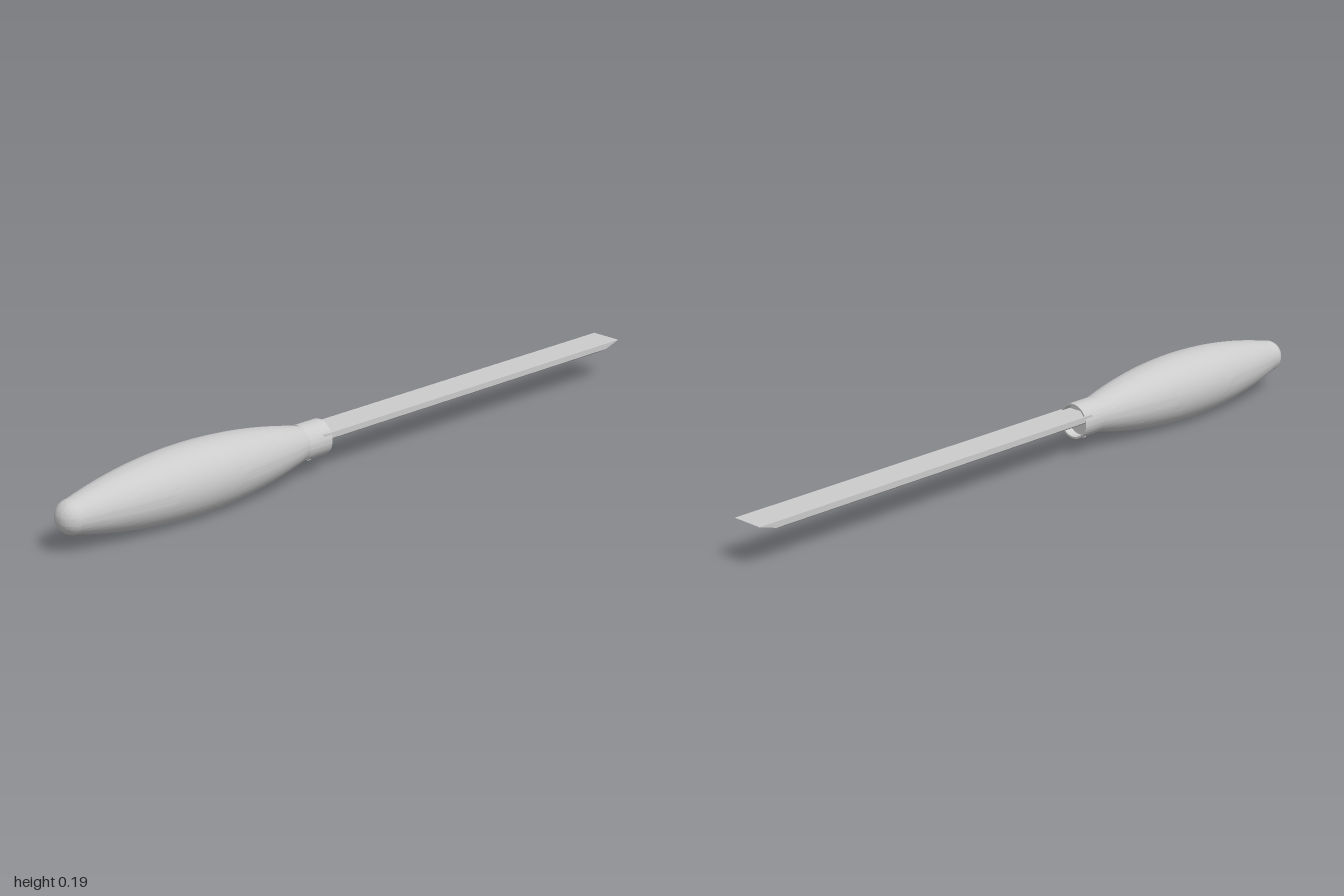
import * as THREE from 'three';
import { toCreasedNormals } from 'three/addons/utils/BufferGeometryUtils.js';

const AXIS_Y = 0.095;

export function createModel() {
  const group = new THREE.Group();
  group.name = 'chisel';
  const material = new THREE.MeshStandardMaterial({ color: 0xcccccc });

  const add = (name, geometry, y = 0, z = 0) => {
    const mesh = new THREE.Mesh(geometry, material);
    mesh.name = name;
    mesh.position.set(0, y, z);
    group.add(mesh);
    return mesh;
  };

  // Turned part: profile of [radius, z] from back to front
  const turned = (profile) => {
    const points = profile.map(([r, z]) => new THREE.Vector2(r, z));
    return toCreasedNormals(new THREE.LatheGeometry(points, 56).rotateX(Math.PI / 2), 0.2);
  };

  // Handle: bulging grip with a domed end
  const grip = [];
  for (let i = 0; i <= 28; i++) {
    const z = 0.21 + (0.745 * i) / 28;
    grip.push([0.0945 - 0.0485 * ((z - 0.5825) / 0.3725) ** 2, z]);
  }
  for (let i = 1; i <= 14; i++) {
    const a = (i / 14) * Math.PI / 2;
    grip.push([Math.max(0, 0.046 * Math.cos(a)), 0.955 + 0.045 * Math.sin(a)]);
  }
  add('handle', turned(grip), AXIS_Y);

  // Ferrule: short collar with a shallow socket for the blade
  add('ferrule', turned([
    [0, 0.165], [0.044, 0.165], [0.044, 0.138], [0.049, 0.138], [0.049, 0.215],
  ]), AXIS_Y);

  // Pin under the ferrule
  add('ferrulePin', new THREE.CylinderGeometry(0.007, 0.007, 0.012, 16), 0.047, 0.18);

  // Blade: flat top, upright sides, rounded underside
  const top = 0.118, side = 0.102, bottom = 0.082, half = 0.046;
  const section = new THREE.Shape();
  section.moveTo(half, side);
  section.lineTo(half, top);
  section.lineTo(-half, top);
  section.lineTo(-half, side);
  section.bezierCurveTo(-half * 0.6, bottom - 0.0067 + 0.0067, half * 0.6, bottom, half, side);
  section.bezierCurveTo;
  const blade = new THREE.ExtrudeGeometry(section, { depth: 1.165, bevelEnabled: false, curveSegments: 20 });
  blade.translate(0, 0, -1);
  // Slant the tip so the top edge reaches furthest
  const p = blade.attributes.position;
  for (let i = 0; i < p.count; i++) {
    if (p.getZ(i) < -0.99) p.setZ(i, -1 + (top - p.getY(i)) * 3.3);
  }
  add('blade', toCreasedNormals(blade, 0.35));

  return group;
}
